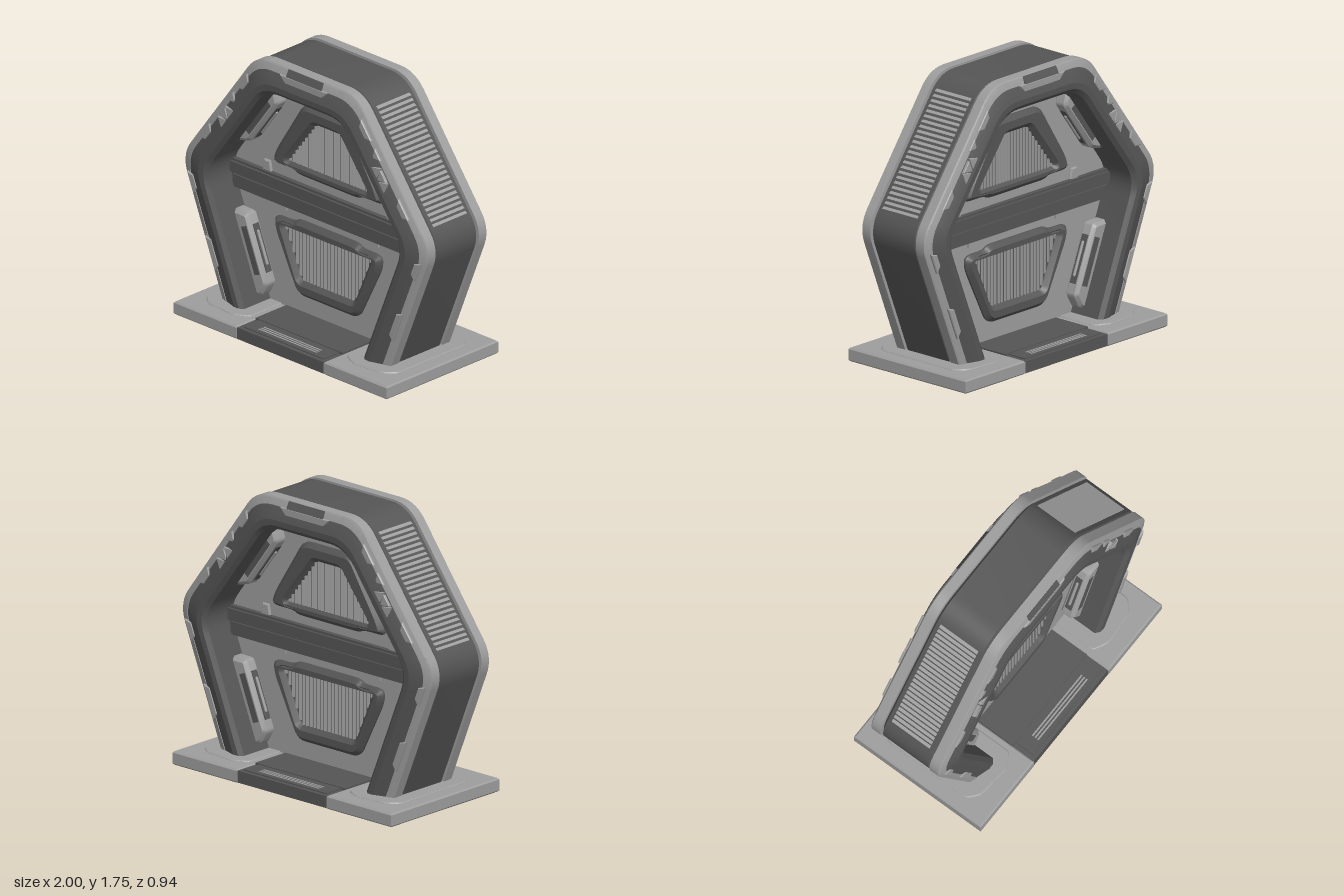
import * as THREE from 'three';
import { toCreasedNormals } from 'three/addons/utils/BufferGeometryUtils.js';

const light = new THREE.MeshStandardMaterial({ color: 0x9d9d9d });
const dark = new THREE.MeshStandardMaterial({ color: 0x555555 });

// Hexagonal arch: two slanted edge lines (outward normal, distance) and the top height
const UP = [0.803, 0.596], LOW = [0.928, -0.371], D1 = 1.375, D2 = 0.614, TOP = 1.75, FOOT = 0.05;

function add(parent, geometry, mat, name, x = 0, y = 0, z = 0) {
  const m = new THREE.Mesh(geometry, mat);
  m.name = name;
  m.position.set(x, y, z);
  parent.add(m);
  return m;
}
const box = (parent, w, h, d, mat, name, x, y, z) => add(parent, new THREE.BoxGeometry(w, h, d), mat, name, x, y, z);

// Open arch outline, moved inwards by off, with rounded corners
function outline(off) {
  const a = D1 - off, b = D2 - off, det = UP[0] * LOW[1] - UP[1] * LOW[0];
  const A = new THREE.Vector2((a - UP[1] * (TOP - off)) / UP[0], TOP - off);
  const B = new THREE.Vector2((a * LOW[1] - UP[1] * b) / det, (UP[0] * b - LOW[0] * a) / det);
  const C = new THREE.Vector2((b - LOW[1] * FOOT) / LOW[0], FOOT);
  const flip = (v) => new THREE.Vector2(-v.x, v.y);
  const c = [C, B, A, flip(A), flip(B), flip(C)];
  const pts = [c[0]];
  for (let i = 1; i < 5; i++) {
    const p = c[i].clone().add(c[i - 1].clone().sub(c[i]).setLength(0.12));
    const q = c[i].clone().add(c[i + 1].clone().sub(c[i]).setLength(0.12));
    pts.push(...new THREE.QuadraticBezierCurve(p, c[i], q).getPoints(7));
  }
  return [...pts, c[5]];
}

// Closed [offset, z] profile swept along the arch
function sweep(profile) {
  const rows = profile.map(([off, z]) => outline(off).map((p) => [p.x, p.y, z]));
  const pos = [];
  rows.forEach((r, j) => {
    const s = rows[(j + 1) % rows.length];
    for (let i = 0; i < r.length - 1; i++) {
      pos.push(...r[i], ...r[i + 1], ...s[i + 1], ...r[i], ...s[i + 1], ...s[i]);
    }
  });
  const g = new THREE.BufferGeometry();
  g.setAttribute('position', new THREE.Float32BufferAttribute(pos, 3));
  return toCreasedNormals(g, 0.3);
}

// Polygon with rounded corners
function poly(pts, r = 0, Type = THREE.Shape) {
  const v = pts.map((p) => new THREE.Vector2(...p)), s = new Type();
  v.forEach((p, i) => {
    const a = v[(i + v.length - 1) % v.length], b = v[(i + 1) % v.length];
    const cut = (q) => p.clone().add(q.clone().sub(p).setLength(Math.min(r, p.distanceTo(q) * 0.45)));
    const e = cut(a), f = cut(b);
    if (i) s.lineTo(e.x, e.y); else s.moveTo(e.x, e.y);
    if (r) s.quadraticCurveTo(p.x, p.y, f.x, f.y);
  });
  s.closePath();
  return s;
}
const sym = (half) => [...half, ...half.map(([x, y]) => [-x, y]).reverse()];

// Bevelled plate, centred on its thickness
function plate(shape, depth, bevel = 0.008) {
  const g = new THREE.ExtrudeGeometry(shape, {
    depth: depth - 2 * bevel, bevelSize: bevel, bevelThickness: bevel, bevelOffset: -bevel, bevelSegments: 1, curveSegments: 5,
  });
  return toCreasedNormals(g.translate(0, 0, bevel - depth / 2), 0.5);
}

// Dark bezel around a slatted opening; half outlines run from bottom to top
function vent(parent, outer, hole, name) {
  const shape = poly(sym(outer), 0.06);
  shape.holes.push(poly(sym(hole), 0.025, THREE.Path));
  add(parent, plate(shape, 0.07, 0.028), dark, name + 'Bezel', 0, 0, 0.055);
  add(parent, plate(poly(sym(hole)), 0.01, 0.001), dark, name + 'Floor', 0, 0, 0.05);
  const [[x0, y0], [x1, y1]] = [hole[0], hole[hole.length - 1]];
  const max = Math.max(x0, x1), min = Math.min(x0, x1);
  for (let i = -12; i <= 12; i++) {
    const x = (i / 12.5) * max, t = Math.max(0, (Math.abs(x) - min) / (max - min));
    const lo = x0 < x1 ? y0 + t * (y1 - y0) : y0, hi = x0 < x1 ? y1 : y1 - t * (y1 - y0);
    const slat = box(parent, 0.018, hi - lo, 0.01, light, name + 'Slat', x, (lo + hi) / 2, 0.057);
    slat.rotation.y = 0.4;
  }
}

// Everything on one face of the gate (z > 0)
function buildFace() {
  const g = new THREE.Group();
  g.name = 'face';
  add(g, sweep([[0, 0.182], [0, 0.246], [0.008, 0.252], [0.048, 0.266], [0.052, 0.255], [0.052, 0.182]]), light, 'outerTrim');
  vent(g, [[0.25, 0.975], [0.28, 0.995], [0.46, 0.995], [0.43, 1.08], [0.2, 1.445]], [[0.33, 1.04], [0.1, 1.34]], 'upperVent');
  vent(g, [[0.25, 0.2], [0.44, 0.58], [0.44, 0.66], [0.28, 0.66], [0.25, 0.685]], [[0.22, 0.3], [0.36, 0.62]], 'lowerVent');

  // Top badge plate with a slanted dark inset
  add(g, plate(poly(sym([[0.15, 1.65], [0.2, 1.705]])), 0.036), light, 'topTab', 0, 0, 0.258);
  box(g, 0.29, 0.05, 0.05, dark, 'topInset', 0, 1.713, 0.241).rotation.x = -0.5;

  // Cross beam ridges and small panel tabs
  box(g, 1.58, 0.07, 0.03, dark, 'beamUpperRidge', 0, 0.87, 0.08);
  box(g, 1.53, 0.08, 0.03, dark, 'beamLowerRidge', 0, 0.785, 0.075);
  for (const s of [-1, 1]) {
    const tabAt = (x, y0, y1) => poly([[x - 0.04, y0], [x + 0.04, y0], [x + 0.025, y1], [x - 0.025, y1]]);
    add(g, plate(tabAt(s * 0.51, 0.9, 0.985), 0.03), light, 'panelTab', 0, 0, 0.05);
    box(g, 0.06, 0.05, 0.025, light, 'panelTab', s * 0.38, 0.73, 0.05);
  }

  // Middle of the base: a thick outer tread with fine lines above and below
  box(g, 0.72, 0.074, 0.2, dark, 'baseTread', 0, 0.041, 0.366);
  box(g, 0.66, 0.012, 0.14, dark, 'treadPad', 0, 0.079, 0.37);
  for (const y of [0.084, 0.004]) {
    for (let i = 0; i < 3; i++) box(g, 0.48, 0.006, 0.01, light, 'treadLine', 0, y, 0.365 + i * 0.02);
  }
  return g;
}

// A light tab reaching over the dark frame, between s0 and s1 along an edge
const tab = (s0, s1) => plate(poly([[s0, -0.03], [s0 + 0.03, -0.075], [s1 - 0.03, -0.075], [s1, -0.03]]), 0.03, 0.006);

// Details along the two slanted edges of one side (x > 0); local x runs down the edge, y outwards
function buildSide() {
  const g = new THREE.Group();
  g.name = 'side';
  const upper = new THREE.Group(), lower = new THREE.Group();
  upper.name = 'upperEdge';
  upper.position.set(0.413, 1.75, 0);
  upper.rotation.z = Math.atan2(-UP[0], UP[1]);
  lower.name = 'lowerEdge';
  lower.position.set(1.029, 0.92, 0);
  lower.rotation.z = Math.atan2(-LOW[0], LOW[1]);
  g.add(upper, lower);

  // Louvres on the outside
  for (let i = 0; i < 24; i++) {
    box(upper, 0.022, 0.016, 0.28, light, 'louvre', 0.115 + i * 0.0335, -0.01, 0).rotation.z = 0.35;
  }

  for (const s of [-1, 1]) {
    // Tabs and triangular marks on the frame
    for (const [a, b] of [[0.14, 0.28], [0.33, 0.41], [0.66, 0.8]]) add(upper, tab(a, b), light, 'trimTab', 0, 0, s * 0.26);
    for (const [a, b] of [[0.1, 0.24], [0.5, 0.72]]) add(lower, tab(a, b), light, 'trimTab', 0, 0, s * 0.26);
    for (let i = 0; i < 3; i++) {
      const h = i % 2 ? -1 : 1, x = 0.45 + i * 0.05;
      const tri = poly([[x - 0.04, -0.085 - h * 0.03], [x + 0.04, -0.085 - h * 0.03], [x, -0.085 + h * 0.035]]);
      add(upper, plate(tri, 0.02, 0.003), light, 'triangleMark', 0, 0, s * 0.274);
    }
    // Raised pads with a slot and grip, where the inner walls meet the panel
    const pads = [
      [upper, [[0.17, -0.17], [0.23, -0.25], [0.62, -0.25], [0.72, -0.17]], 0.43, -0.25],
      [lower, [[0.38, -0.17], [0.43, -0.285], [0.87, -0.285], [0.93, -0.21], [0.93, -0.17]], 0.65, -0.285],
    ];
    for (const [edge, pts, mid, y] of pads) {
      add(edge, plate(poly(pts, 0.02), 0.1, 0.02), light, 'innerPad', 0, 0, s * 0.09);
      box(edge, 0.3, 0.01, 0.045, dark, 'padSlot', mid, y - 0.001, s * 0.09);
      add(edge, new THREE.CapsuleGeometry(0.01, 0.2, 3, 8), light, 'padGrip', mid, y - 0.006, s * 0.09).rotation.z = Math.PI / 2;
      box(edge, 0.3, 0.045, 0.01, dark, 'padEndSlot', mid, y + 0.05, s * 0.137);
    }
  }

  // Base plate with a recessed underside, and a collar round the foot
  const rect = (x0, x1, z) => [[x0, -z], [x1, -z], [x1, z], [x0, z]];
  const base = poly(rect(0.36, 0.88, 0.47));
  base.holes.push(poly(rect(0.44, 0.82, 0.4), 0.05, THREE.Path));
  add(g, plate(base, 0.084, 0.009).rotateX(-Math.PI / 2), light, 'basePlate', 0, 0.042, 0);
  box(g, 0.42, 0.05, 0.84, light, 'baseTop', 0.63, 0.059, 0);
  box(g, 0.4, 0.02, 0.82, dark, 'baseUnderside', 0.63, 0.026, 0);
  const collar = poly([[0.4, -0.32], [0.5, -0.37], [0.72, -0.35], [0.79, -0.29], [0.79, 0.29], [0.72, 0.35], [0.5, 0.37], [0.4, 0.32]], 0.03);
  add(g, plate(collar, 0.03, 0.006).rotateX(-Math.PI / 2), light, 'footCollar', 0, 0.076, 0);
  return g;
}

export function createModel() {
  const model = new THREE.Group();
  model.name = 'gate';

  // Dark arch body with slanted frame faces front and back
  const front = [[0.006, 0.166], [0.02, 0.174], [0.03, 0.18], [0.03, 0.25], [0.05, 0.263], [0.13, 0.29], [0.165, 0.288], [0.19, 0.265]];
  add(model, sweep([...front.map(([o, z]) => [o, -z]).reverse(), ...front]), dark, 'archBody');

  // Door panel, cross beam and the thin threshold under them
  add(model, plate(poly(outline(0.17).map((p) => [p.x, p.y])), 0.1, 0.002), light, 'doorPanel');
  box(model, 1.58, 0.18, 0.16, dark, 'crossBeam', 0, 0.83, 0);
  box(model, 0.72, 0.05, 0.62, dark, 'threshold', 0, 0.065, 0);

  // The gate looks the same from both faces and both sides
  for (const part of [buildFace(), buildSide()]) {
    const other = part.clone();
    other.rotation.y = Math.PI;
    model.add(part, other);
  }
  return model;
}
